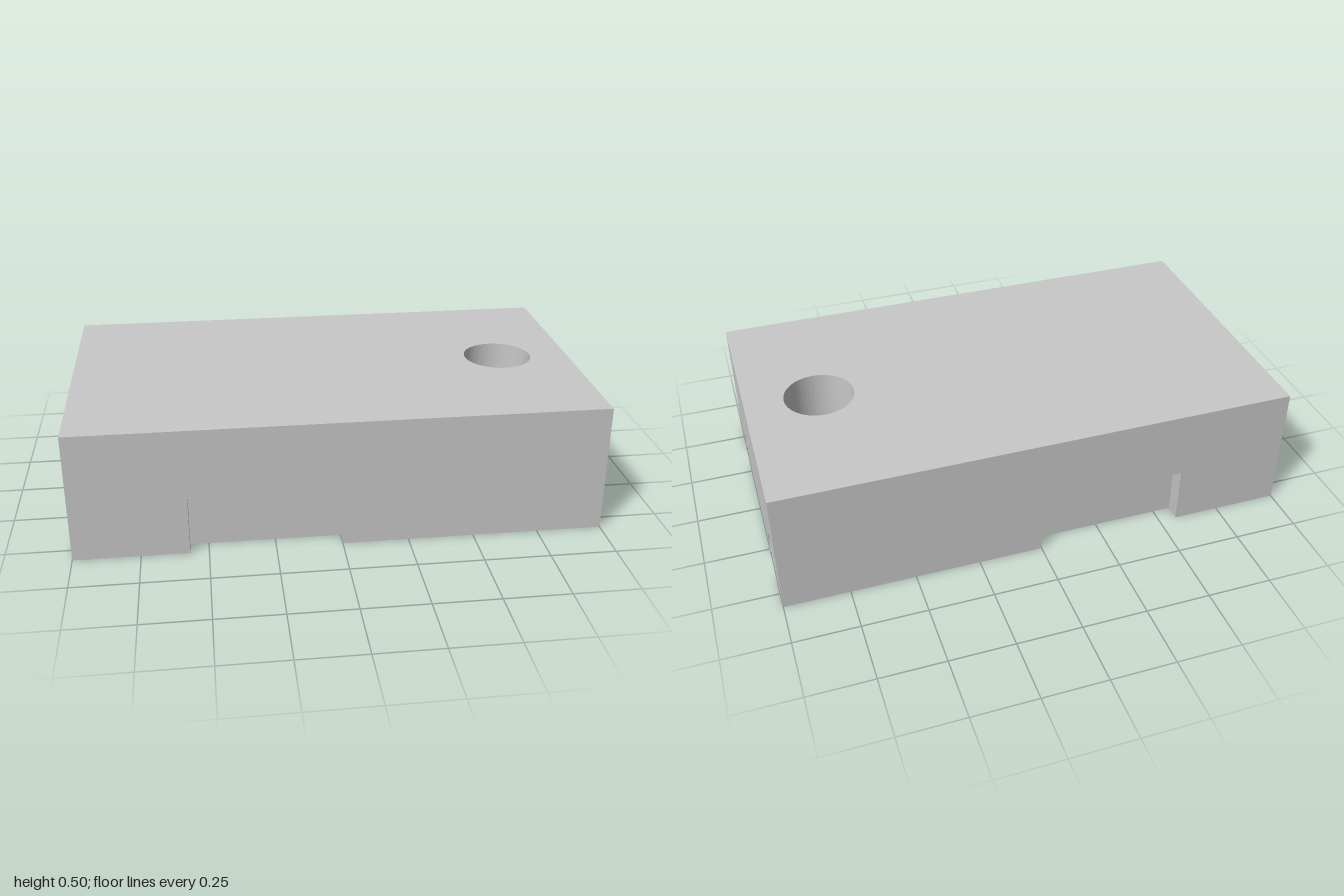
import * as THREE from 'three';
import { toCreasedNormals } from 'three/addons/utils/BufferGeometryUtils.js';

const W = 1, D = 0.571, H = 0.5;               // half width, half depth, height
const LEDGE = 0.143, NOTCH_TOP = 0.229, CEILING = 0.414;
const BLOCK_X = 0.33, POCKET_X = 0.56;         // inner end of the solid block, end of the cable pockets
const INNER_X = -0.914, INNER_Z = 0.479, DEEP_Z = 0.357;
const NOTCH_X = -0.57, NOTCH_Z = 0.51;
const HOLE = { x: 0.714, z: 0, r: 0.135 };

export function createModel() {
  const grey = new THREE.MeshStandardMaterial({ color: 0xc8c8c8 });
  grey.name = 'grey';
  const model = new THREE.Group();
  model.name = 'enclosureCover';

  function add(name, geometry) {
    const mesh = new THREE.Mesh(toCreasedNormals(geometry, 0.5), grey);
    mesh.name = name;
    model.add(mesh);
  }

  const points = (list) => list.map(([x, z]) => new THREE.Vector2(x, -z));
  // Outlines run counterclockwise seen from above, so that hole walls face inward
  const rect = (x0, x1, z0, z1) => [[x0, z1], [x1, z1], [x1, z0], [x0, z0]];
  const roundHole = () => new THREE.Path().absarc(HOLE.x, -HOLE.z, HOLE.r, 0, Math.PI * 2, true);

  // Horizontal layer from a plan outline in x and z
  function slab(name, outline, y0, y1, holes = []) {
    const shape = new THREE.Shape(points(outline));
    shape.holes.push(...holes);
    const geometry = new THREE.ExtrudeGeometry(shape, { depth: y1 - y0, bevelEnabled: false, curveSegments: 64 });
    geometry.rotateX(-Math.PI / 2).translate(0, y0, 0);
    add(name, geometry);
  }

  // Outer edge with the finger notches, from the back round to the front
  const notchedEdge = (endX) => [
    [endX, -D], [0, -D], [0, -NOTCH_Z], [NOTCH_X, -NOTCH_Z], [NOTCH_X, -D], [-W, -D],
    [-W, D], [NOTCH_X, D], [NOTCH_X, NOTCH_Z], [0, NOTCH_Z], [0, D], [endX, D],
  ];
  const deepCavity = () => new THREE.Path(points(rect(INNER_X, BLOCK_X, -DEEP_Z, DEEP_Z)));

  // Lid and upper walls
  slab('topPlate', rect(-W, W, -D, D), CEILING, H, [roundHole()]);
  slab('upperWalls', rect(-W, W, -D, D), NOTCH_TOP, CEILING, [deepCavity(), roundHole()]);
  slab('notchedWalls', notchedEdge(W), LEDGE, NOTCH_TOP, [deepCavity(), roundHole()]);

  // Thin lower walls with wider cavity and a pocket for each cable
  slab('lowerWalls', [
    ...notchedEdge(POCKET_X),
    [POCKET_X, 0.45], [BLOCK_X, 0.45], [BLOCK_X, INNER_Z], [INNER_X, INNER_Z],
    [INNER_X, -INNER_Z], [BLOCK_X, -INNER_Z], [BLOCK_X, -0.47], [POCKET_X, -0.47],
  ], 0, LEDGE);

  // Solid block around the through hole
  slab('holeBlock', rect(BLOCK_X, W, -0.23, 0.25), 0, LEDGE, [roundHole()]);

  // Blocks with snap-in cable channels running along x
  function channelBlock(name, z0, z1, centreZ, centreY, r) {
    const neckY = 0.015;
    const a = Math.asin((neckY - centreY) / r);
    const shape = new THREE.Shape();
    shape.moveTo(-z1, 0);
    shape.lineTo(-centreZ - r, 0);
    shape.absarc(-centreZ, centreY, r, Math.PI - a, a, true);
    shape.lineTo(-centreZ + r, 0);
    shape.lineTo(-z0, 0);
    shape.lineTo(-z0, LEDGE);
    shape.lineTo(-z1, LEDGE);
    const geometry = new THREE.ExtrudeGeometry(shape, { depth: W - POCKET_X, bevelEnabled: false, curveSegments: 40 });
    geometry.rotateY(Math.PI / 2).translate(POCKET_X, 0, 0);
    add(name, geometry);
  }
  channelBlock('smallCableChannel', 0.25, D, 0.35, 0.049, 0.059);
  channelBlock('largeCableChannel', -D, -0.23, -0.35, 0.06, 0.08);

  // Small snap ribs inside the two long walls
  for (const side of [1, -1]) {
    const rib = new THREE.CylinderGeometry(0.024, 0.024, 0.26, 20);
    rib.rotateZ(Math.PI / 2).translate(-0.29, 0.075, side * INNER_Z);
    add(side > 0 ? 'frontSnapRib' : 'backSnapRib', rib);
  }
  return model;
}
